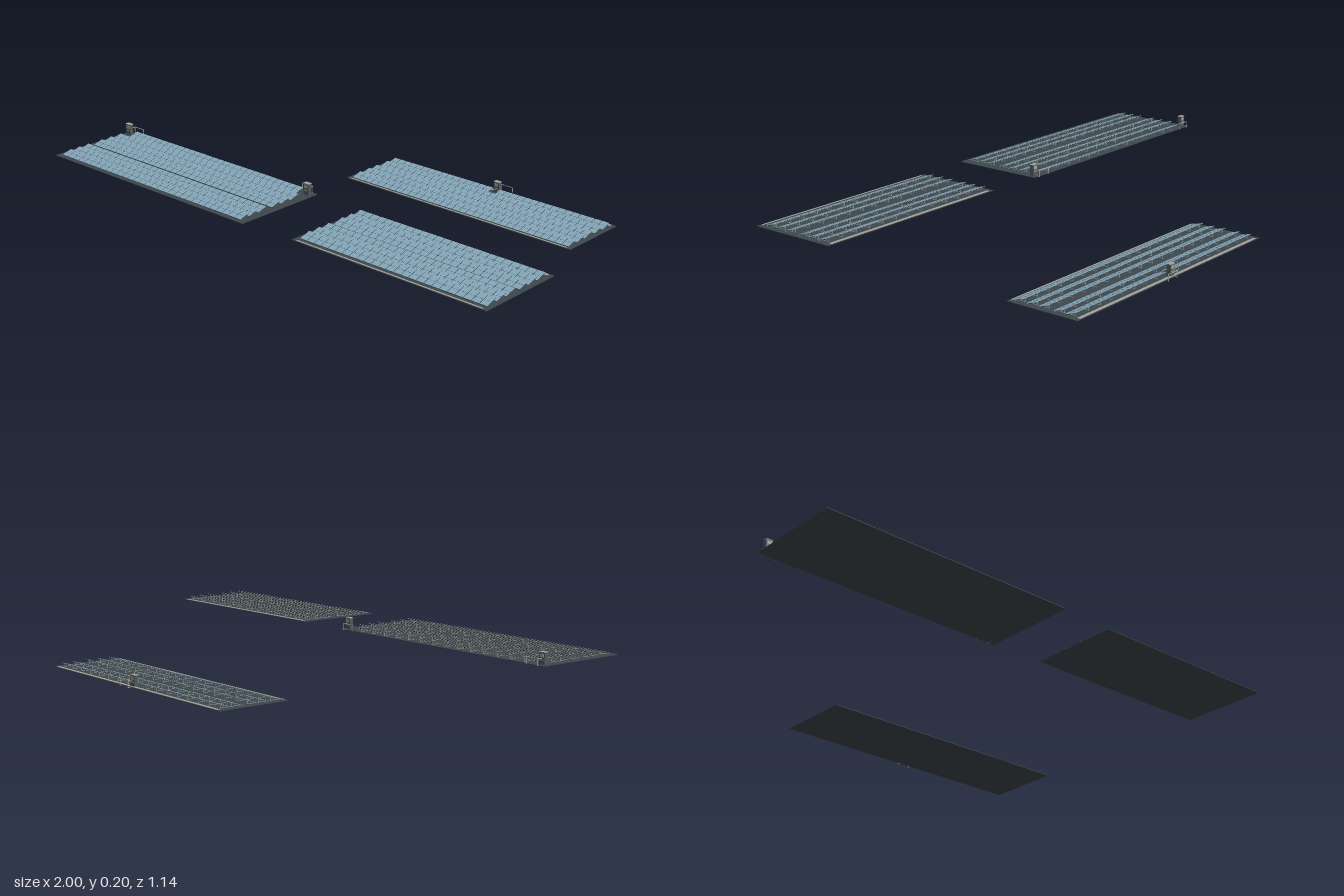
import * as THREE from 'three';
import { mergeGeometries } from 'three/addons/utils/BufferGeometryUtils.js';

const mat = (name, color) => {
  const m = new THREE.MeshStandardMaterial({ color });
  m.name = name;
  return m;
};

const box = (w, h, d, x, y, z) => new THREE.BoxGeometry(w, h, d).translate(x, y, z);

// Each array: base rectangle, ground level, panel span, row centres, service cabinets
const ARRAYS = [
  {
    name: 'leftArray', x: [-1, -0.01], z: [0.21, 0.57], y: 0.154, span: [-0.98, -0.035], cols: 31, depth: 0.039,
    rows: [0.24, 0.297, 0.342, 0.387, 0.452, 0.493, 0.534], cabinets: [[-0.978, 0.233, 1], [-0.035, 0.233, -1]], trim: false,
  },
  {
    name: 'rightArray', x: [0.205, 1], z: [0.22, 0.557], y: 0.154, span: [0.22, 0.985], cols: 25, depth: 0.043,
    rows: [0.265, 0.31, 0.354, 0.42, 0.466, 0.512], cabinets: [], trim: true,
  },
  {
    name: 'backArray', x: [-0.32, 0.717], z: [-0.56, -0.277], y: 0, span: [-0.303, 0.702], cols: 33, depth: 0.043,
    rows: [-0.517, -0.471, -0.409, -0.363, -0.313], cabinets: [[0.2, -0.543, 1]], trim: true,
  },
];

const TILT = 0.29;

function createArray(a, M) {
  const group = new THREE.Group();
  group.name = a.name;
  const add = (name, geos, material) => {
    if (!geos.length) return;
    const mesh = new THREE.Mesh(mergeGeometries(geos), material);
    mesh.name = name;
    group.add(mesh);
  };
  const [x0, x1] = a.x, [z0, z1] = a.z;
  const w = x1 - x0, d = z1 - z0, cx = (x0 + x1) / 2, cz = (z0 + z1) / 2;

  // Thin ground plate
  add('basePlate', [box(w, 0.002, d, cx, 0.001, cz)], M.base);

  // Pale strips along the front and back edges
  if (a.trim) {
    add('edgeStrips', [box(w - 0.035, 0.001, 0.012, cx, 0.0025, z0 + 0.009),
      box(w - 0.035, 0.001, 0.006, cx, 0.0025, z1 - 0.006)], M.steel);
  }

  const glass = [], frames = [], lines = [], supports = [];
  const [s0, s1] = a.span, pitch = (s1 - s0) / a.cols;
  const len = a.depth / Math.cos(TILT);
  a.rows.forEach((z) => {
    // Tilted parts are made flat, then leaned towards the front
    const lean = (g) => g.rotateX(TILT).translate(0, 0.0098, z);
    const clear = (x) => a.cabinets.every(([bx, bz]) => Math.abs(x - bx) > 0.028 || Math.abs(z - bz) > 0.035);
    let first = Infinity, last = -Infinity;
    for (let i = 0; i < a.cols; i++) {
      const x = s0 + (i + 0.5) * pitch;
      if (!clear(x)) continue;
      first = Math.min(first, x);
      last = Math.max(last, x);
      frames.push(lean(box(pitch - 0.002, 0.001, len, x, -0.0007, 0)));
      glass.push(lean(box(pitch - 0.0026, 0.0008, len - 0.0012, x, 0.0002, 0)));
      // Feet under every second panel
      if (i % 2 === 0) {
        supports.push(box(0.0015, 0.0115, 0.0015, x, 0.0068, z - a.depth * 0.36));
        supports.push(box(0.0015, 0.003, 0.0015, x, 0.0035, z + a.depth * 0.36));
        supports.push(box(0.0015, 0.001, a.depth * 0.74, x, 0.0025, z));
      }
    }
    const rw = last - first + pitch - 0.002, rx = (first + last) / 2;
    // Rails carrying the panels, and a thin line across the glass
    for (const s of [-0.36, 0.36]) supports.push(lean(box(rw, 0.0012, 0.0015, rx, -0.0017, s * len)));
    lines.push(lean(box(rw, 0.0002, 0.0006, rx, 0.0007, 0)));
  });
  add('panelGlass', glass, M.glass);
  add('panelFrames', frames, M.frame);
  add('cellLines', lines, M.frame);
  add('panelSupports', supports, M.steel);

  // Cabinets with pale cap and door, and a pipe loop behind
  const body = [], pale = [], pipes = [];
  for (const [x, z, side] of a.cabinets) {
    body.push(box(0.024, 0.04, 0.015, x, 0.022, z));
    pale.push(box(0.026, 0.002, 0.017, x, 0.043, z));
    for (const f of [-1, 1]) {
      pale.push(box(0.016, 0.012, 0.001, x, 0.032, z + f * 0.0078));
      pale.push(box(0.016, 0.003, 0.001, x, 0.018, z + f * 0.0078));
    }
    const back = z - 0.0265;
    for (const px of [x, x + side * 0.05]) pipes.push(box(0.002, 0.024, 0.002, px, 0.012, back));
    pipes.push(box(0.054, 0.002, 0.002, x + side * 0.025, 0.024, back));
    pipes.push(box(0.002, 0.002, 0.019, x, 0.023, z - 0.017));
    pipes.push(box(0.002, 0.002, 0.019, x, 0.001, z - 0.017));
  }
  add('cabinetBodies', body, M.cabinet);
  add('cabinetCapsAndDoors', pale, M.steel);
  add('pipeLoops', pipes, M.steel);

  group.position.y = a.y;
  return group;
}

export function createModel() {
  const M = {
    base: mat('dark ground plate', 0x3d474c),
    glass: mat('blue panel glass', 0x86a9bd),
    frame: mat('dark panel frame', 0x333d43),
    steel: mat('pale steel', 0xa3a39b),
    cabinet: mat('cabinet grey', 0x50585b),
  };
  const model = new THREE.Group();
  model.name = 'solarPanelField';
  ARRAYS.forEach((a) => model.add(createArray(a, M)));
  return model;
}
